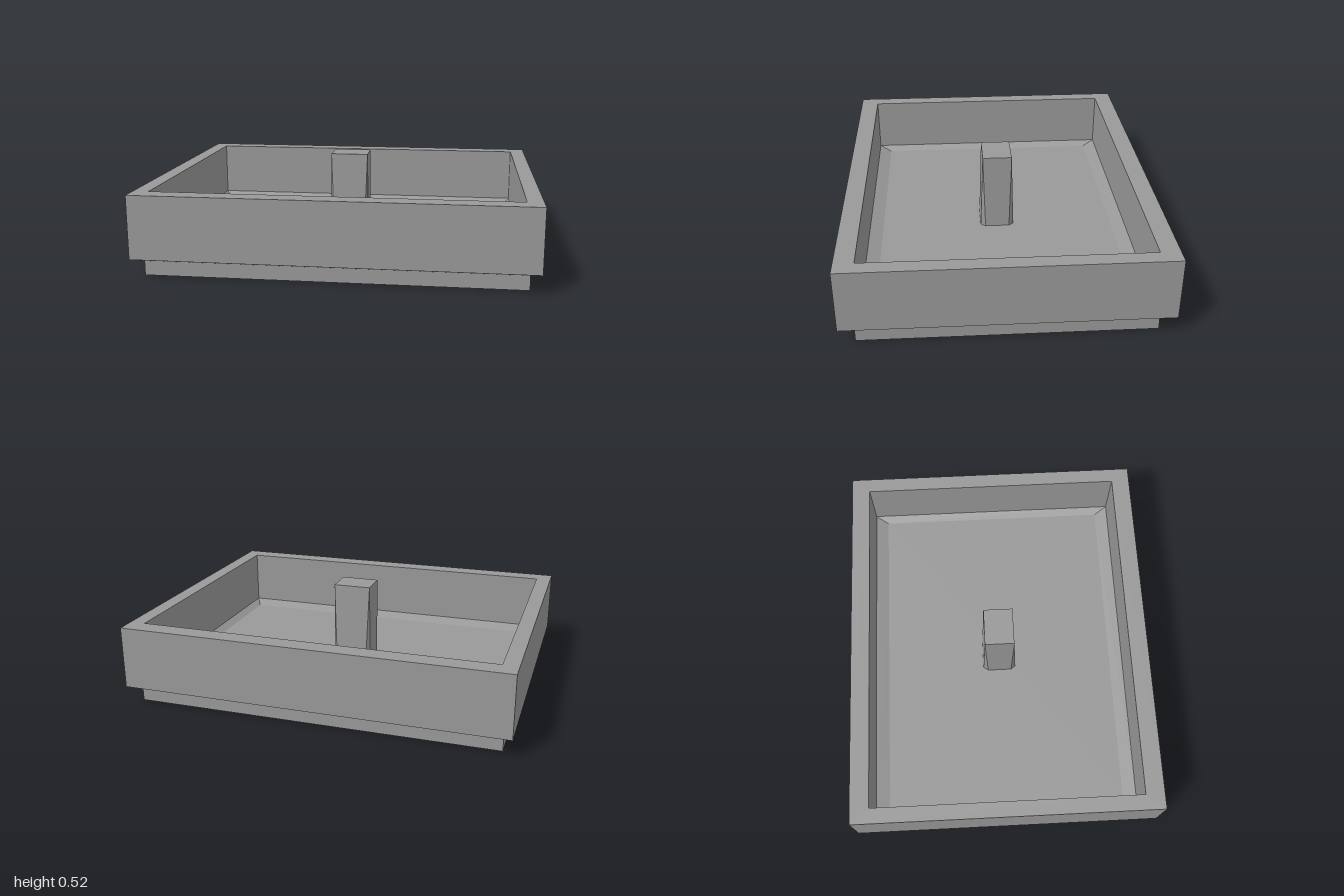
import * as THREE from 'three';

// Skin between successive rings of [x, y, z] points
function loft(name, rings, material) {
  const pos = [];
  for (let r = 0; r < rings.length - 1; r++) {
    const lo = rings[r], hi = rings[r + 1], n = lo.length;
    for (let i = 0; i < n; i++) {
      const j = (i + 1) % n;
      pos.push(...lo[i], ...lo[j], ...hi[j], ...lo[i], ...hi[j], ...hi[i]);
    }
  }
  const geo = new THREE.BufferGeometry();
  geo.setAttribute('position', new THREE.Float32BufferAttribute(pos, 3));
  geo.computeVertexNormals();
  const mesh = new THREE.Mesh(geo, material);
  mesh.name = name;
  return mesh;
}

// Rectangle with half sizes x, z and corner cuts cx, cz
function ring(y, x, z, cx = 0, cz = 0) {
  return [
    [x - cx, y, z], [x, y, z - cz], [x, y, -z + cz], [x - cx, y, -z],
    [-x + cx, y, -z], [-x, y, -z + cz], [-x, y, z - cz], [-x + cx, y, z],
  ];
}

export function createModel() {
  const stone = new THREE.MeshStandardMaterial({ color: 0x999999 });
  stone.name = 'grey stone';
  const group = new THREE.Group();
  group.name = 'basinWithPillar';

  // Recessed plinth under the basin
  group.add(loft('plinth', [ring(0, 0, 0), ring(0, 0.95, 0.735), ring(0.075, 0.95, 0.735)], stone));

  // Bevelled outer wall, rim, inner wall, sloped edge and floor
  group.add(loft('basin', [
    ring(0.075, 0.95, 0.735),
    ring(0.1, 1, 0.81),
    ring(0.425, 1, 0.81),
    ring(0.425, 0.92, 0.71),
    ring(0.125, 0.92, 0.71),
    ring(0.1, 0.88, 0.64),
    ring(0.1, 0, 0),
  ], stone));

  // Centre pillar, octagonal foot rising to a rectangular top
  group.add(loft('pillar', [
    ring(0.1, 0.104, 0.092, 0.02, 0.026),
    ring(0.525, 0.1, 0.079),
    ring(0.525, 0, 0),
  ], stone));

  return group;
}
